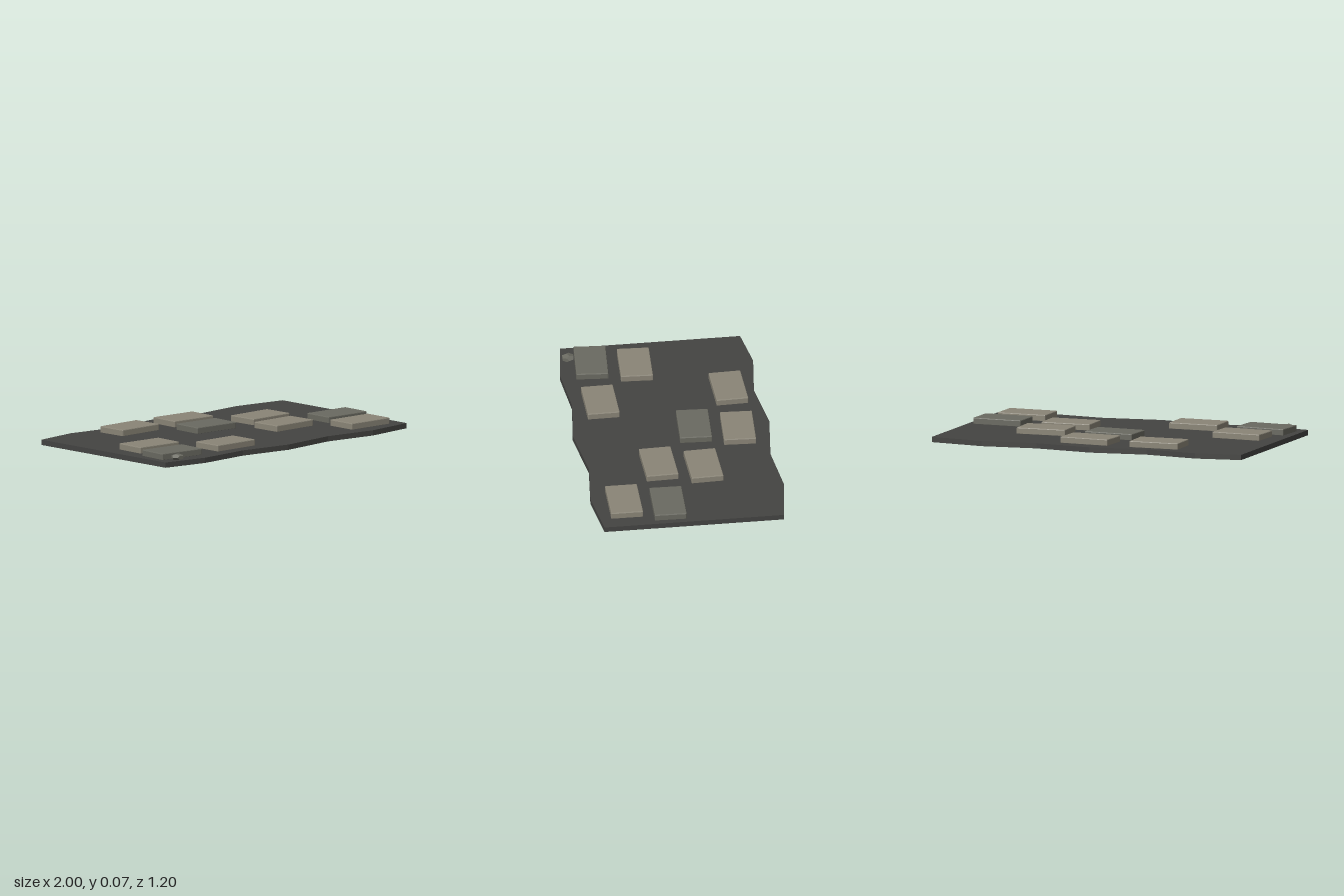
import * as THREE from 'three';
import { RoundedBoxGeometry } from 'three/addons/geometries/RoundedBoxGeometry.js';

const mat = (color) => new THREE.MeshStandardMaterial({ color, flatShading: true });
const BASE = 0.032; // slab thickness
const TOP = 0.07;   // top of the paving stones

export function createModel() {
  const model = new THREE.Group();
  const ground = mat(0x444442), light = mat(0x8a8577), dark = mat(0x6a6a61);

  const add = (name, geometry, material) => {
    const mesh = new THREE.Mesh(geometry, material);
    mesh.name = name;
    model.add(mesh);
    return mesh;
  };

  // Ground slab with wavy front and back edges
  const outline = [
    [-1, 0.545], [-0.71, 0.585], [-0.37, 0.555], [-0.03, 0.595], [0.34, 0.545], [0.68, 0.58], [1, 0.535],
    [1, -0.555], [0.66, -0.597], [0.32, -0.56], [-0.04, -0.6], [-0.39, -0.552], [-0.72, -0.59], [-1, -0.547],
  ];
  const shape = new THREE.Shape(outline.map(([x, z]) => new THREE.Vector2(x, -z)));
  const slab = new THREE.ExtrudeGeometry(shape, { depth: BASE, bevelEnabled: false });
  slab.rotateX(-Math.PI / 2);
  add('groundSlab', slab, ground);

  // Scattered paving stones: x, z, turn, material
  const stones = [
    [-0.41, -0.4, 0.03, light], [0.035, -0.4, -0.045, light],
    [-0.02, -0.14, -0.045, dark], [0.425, -0.14, 0.035, light],
    [-0.74, 0.125, -0.045, light], [0.37, 0.125, 0.03, light], [0.81, 0.125, -0.02, dark],
    [-0.795, 0.385, -0.07, dark], [-0.355, 0.385, 0.01, light], [0.755, 0.385, -0.005, light],
  ];
  const sunk = 0.004;
  const height = TOP - BASE + sunk;
  const stoneGeometry = new RoundedBoxGeometry(0.31, height, 0.194, 1, 0.005);
  for (const [x, z, turn, material] of stones) {
    const stone = add('pavingStone', stoneGeometry, material);
    stone.position.set(x, TOP - height / 2, z);
    stone.rotation.y = turn;
  }

  // Small loose pebble beside the front corner stone
  const pebble = add('pebble', new THREE.DodecahedronGeometry(0.042), dark);
  pebble.scale.set(1, 0.5, 1);
  pebble.position.set(-0.875, 0.047, 0.515);
  pebble.rotation.y = 0.5;

  return model;
}
